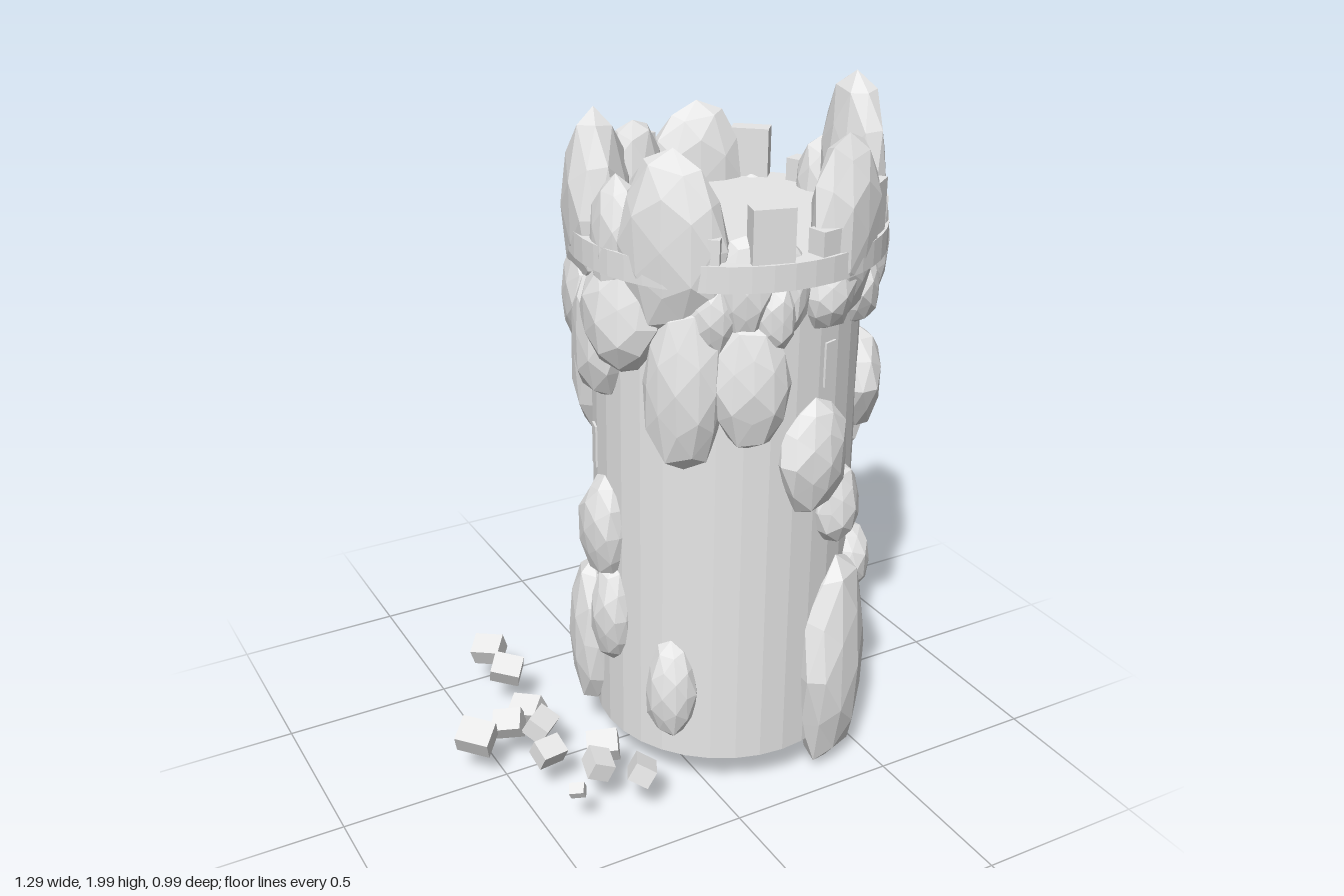
import * as THREE from 'three';

const CX = 0.19, CZ = 0.05, R = 0.37, BASE = 0.13, DECK = 1.635;

export function createModel() {
  const model = new THREE.Group();
  model.name = 'ruinedTower';
  const stone = new THREE.MeshStandardMaterial({ color: 0xe7e7e7 });
  stone.name = 'pale stone';

  let seed = 7;
  const rand = () => (seed = (seed * 16807) % 2147483647) / 2147483647;

  const add = (name, geometry, parent = model) => {
    // Separate the faces so every facet is flat
    const flat = geometry.index ? geometry.toNonIndexed() : geometry;
    flat.computeVertexNormals();
    const mesh = new THREE.Mesh(flat, stone);
    mesh.name = name;
    parent.add(mesh);
    return mesh;
  };
  const group = (name) => {
    const g = new THREE.Group();
    g.name = name;
    model.add(g);
    return g;
  };
  // Puts a mesh on the tower wall; angle runs from the front (+z) towards +x
  const onWall = (mesh, angle, y, radius) => {
    const a = THREE.MathUtils.degToRad(angle);
    mesh.position.set(CX + radius * Math.sin(a), y, CZ + radius * Math.cos(a));
    mesh.rotation.y = a;
    return mesh;
  };

  // Faceted boulder: a subdivided icosahedron with each corner pushed in or out
  const rockGeometry = (hw, hh, hd) => {
    const geo = new THREE.IcosahedronGeometry(1, 1);
    const p = geo.attributes.position, v = new THREE.Vector3(), pushes = new Map();
    for (let i = 0; i < p.count; i++) {
      v.fromBufferAttribute(p, i);
      const key = [v.x, v.y, v.z].map((n) => Math.round(n * 100)).join();
      if (!pushes.has(key)) pushes.set(key, 0.92 + 0.16 * rand());
      const k = pushes.get(key);
      p.setXYZ(i, v.x * k * hw, v.y * (Math.abs(v.y) > 0.95 ? 1 : k) * hh, v.z * k * hd);
    }
    return geo;
  };

  // Tower shaft
  add('towerShaft', new THREE.CylinderGeometry(R, R, DECK - BASE, 32))
    .position.set(CX, (BASE + DECK) / 2, CZ);

  // Projecting ring and deck
  add('parapetRing', new THREE.CylinderGeometry(0.432, 0.432, 0.07, 48)).position.set(CX, 1.605, CZ);

  // Battlements, alternating tall and short, broken away on one side
  const battlements = group('battlements');
  for (let k = -1; k < 10; k++) {
    const h = k % 2 ? 0.07 : 0.145;
    onWall(add('merlon', new THREE.BoxGeometry(0.11, h, 0.055), battlements),
      -15 + k * 360 / 14, 1.635 + h / 2, 0.395);
  }

  // Boulders on the wall; wider ones are deeper
  const wallRocks = group('wallRocks');
  const wallRock = (angle, y, hw, hh) =>
    onWall(add('wallRock', rockGeometry(hw, hh, 0.035 + 0.36 * hw), wallRocks), angle, y, R);
  // angle, y, half width, half height
  [
    [31, 0.355, 0.15, 0.345],
    [-52, 0.35, 0.075, 0.16],
    [10, 1.06, 0.11, 0.17],
    [26, 0.88, 0.085, 0.12],
    [-21, 1.3, 0.105, 0.18],
    [-47, 1.29, 0.115, 0.24],
    [52, 0.62, 0.085, 0.11],
    [68, 1.155, 0.125, 0.155],
    [94, 1.19, 0.07, 0.1],
    [89, 1, 0.115, 0.14],
    [99, 0.415, 0.13, 0.235],
    [122, 0.63, 0.13, 0.29],
    [136, 0.27, 0.12, 0.19],
    [90, 1.48, 0.14, 0.21],
    [138, 1.45, 0.145, 0.2],
    [169, 1.2, 0.1, 0.11],
    [166, 0.48, 0.135, 0.29],
    [195, 0.89, 0.13, 0.22],
    [212, 0.41, 0.09, 0.09],
    [222, 1.21, 0.125, 0.28],
    [246, 0.36, 0.125, 0.25],
    [268, 0.78, 0.095, 0.16],
    [274, 0.52, 0.07, 0.16],
    [266, 1.37, 0.115, 0.19],
  ].forEach((rock) => wallRock(...rock));
  // Two uneven rows tucked under the ring: small at the front, larger at the back
  for (let k = 0; k < 4; k++) {
    wallRock(-36 + 25 * k, 1.47 + 0.06 * rand(), 0.055 + 0.03 * rand(), 0.1);
    wallRock(168 + 38 * k, 1.42 + 0.05 * rand(), 0.135, 0.16);
  }

  // Boulders heaped around the deck, all rooted at one level: x, z, top, half width
  const crownRocks = group('crownRocks');
  [
    [-0.135, -0.09, 1.94, 0.17],
    [-0.04, -0.23, 1.84, 0.11],
    [-0.1, 0.27, 1.91, 0.15],
    [-0.18, 0.12, 1.82, 0.09],
    [0.34, 0.385, 1.92, 0.13],
    [0.55, 0.11, 2, 0.14],
    [0.3, -0.31, 1.86, 0.14],
    [0.09, -0.3, 1.83, 0.1],
    [0.5, 0.27, 1.76, 0.08],
    [0.04, 0.39, 1.7, 0.07],
    [0.165, 0.415, 1.67, 0.045],
    [0.55, -0.04, 1.79, 0.08],
  ].forEach(([x, z, top, hw]) => {
    const hh = (top - 1.42) / 2;
    const rock = add('crownRock', rockGeometry(hw, hh, 0.025 + 0.36 * hw), crownRocks);
    rock.position.set(x, top - hh, z);
    rock.rotation.y = Math.atan2(x - CX, z - CZ);
  });

  // Narrow window slots: angle, y
  const windows = group('windowSlots');
  [[17, 1.315], [256, 1], [213, 0.5], [140, 0.88]].forEach(([a, y]) =>
    onWall(add('windowSlot', new THREE.BoxGeometry(0.04, 0.125, 0.04), windows), a, y, R - 0.015));

  // Chest on the deck, with a rounded lid
  const chest = group('chest');
  chest.position.set(0.115, 1.64, -0.09);
  add('chestBody', new THREE.BoxGeometry(0.11, 0.045, 0.07), chest).position.y = 0.0225;
  const lid = add('chestLid', new THREE.CylinderGeometry(0.036, 0.036, 0.115, 12), chest);
  lid.rotation.z = Math.PI / 2;
  lid.position.y = 0.042;
  add('chestLatch', new THREE.BoxGeometry(0.014, 0.02, 0.008), chest).position.set(0, 0.04, 0.038);
  for (const sx of [-1, 1]) for (const sz of [-1, 1])
    add('chestStud', new THREE.BoxGeometry(0.012, 0.012, 0.01), chest)
      .position.set(sx * 0.048, 0.05, sz * 0.034);

  // Fallen blocks beside the tower: x, z, turn, scale
  const rubble = group('rubble');
  [
    [-0.36, -0.445, -0.7, 0.9], [-0.355, -0.315, -0.7, 0.9], [-0.575, -0.035, -0.8, 1],
    [-0.465, -0.05, -0.5, 0.85], [-0.39, -0.085, -0.8, 0.9], [-0.385, 0, 0.7, 0.85],
    [-0.42, 0.13, 0.15, 0.8], [-0.27, 0.18, -0.4, 0.9], [-0.32, 0.25, 1.4, 0.8],
    [-0.425, 0.33, -0.5, 0.42], [-0.225, 0.335, 1, 0.8],
  ].forEach(([x, z, turn, s]) => {
    const block = add('fallenBlock', new THREE.BoxGeometry(0.1 * s, 0.07 * s, 0.08 * s), rubble);
    block.position.set(x, 0.15, z);
    block.rotation.set(0.35 + 0.2 * rand(), turn, (rand() - 0.5) * 0.5, 'YXZ');
  });

  return model;
}
